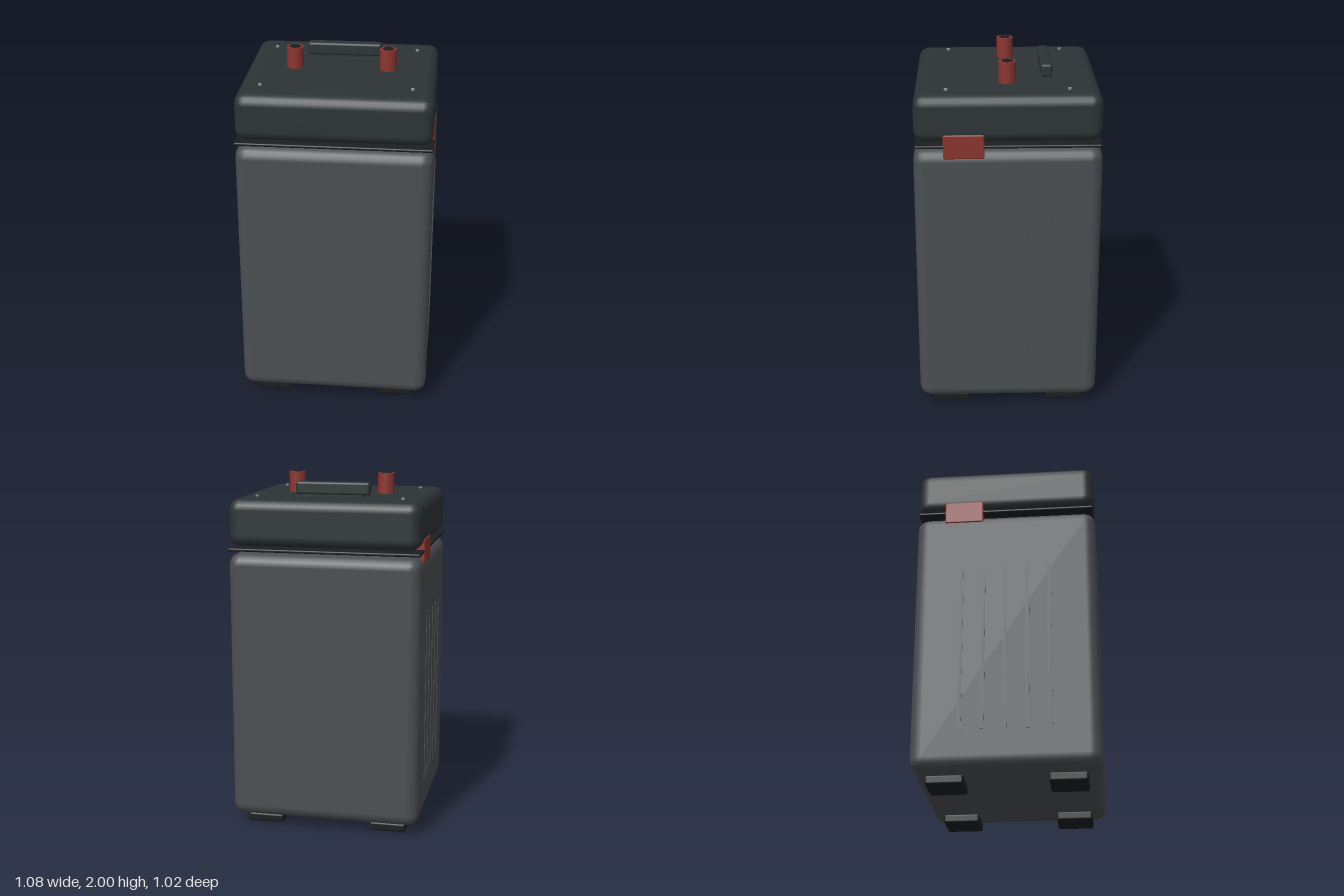
import * as THREE from 'three';
import { RoundedBoxGeometry } from 'three/addons/geometries/RoundedBoxGeometry.js';

const paint = (color) => new THREE.MeshStandardMaterial({ color });

export function createModel() {
  const model = new THREE.Group();
  const shell = paint(0x4b4f52);
  const dark = paint(0x2d3436);
  const rubber = paint(0x1c1e1f);
  const red = paint(0x8b3530);
  const steel = paint(0x8a8f92);

  function add(name, geometry, material, x, y, z) {
    const mesh = new THREE.Mesh(geometry, material);
    mesh.name = name;
    mesh.position.set(x, y, z);
    model.add(mesh);
    return mesh;
  }
  // Rounded block given by its size, bottom and top
  function block(name, material, w, d, y0, y1, radius, x = 0, z = 0) {
    const geometry = new RoundedBoxGeometry(w, y1 - y0, d, 2, radius);
    return add(name, geometry, material, x, (y0 + y1) / 2, z);
  }

  // Case, seal and lid, with narrow gaps between them
  block('body', shell, 1.075, 1.02, 0.06, 1.58, 0.065);
  block('seal', rubber, 1.07, 1.0, 1.593, 1.611, 0.008);
  block('lid', dark, 1.065, 1.01, 1.62, 1.88, 0.06);

  // Carrying handle: bar on a slim base
  block('handle', dark, 0.42, 0.064, 1.888, 1.96, 0.014, 0, -0.217);
  add('handleBase', new THREE.BoxGeometry(0.34, 0.02, 0.05), dark, 0, 1.88, -0.217);

  for (const side of [-1, 1]) {
    // Terminal post with a dark core
    add('terminal', new THREE.CylinderGeometry(0.047, 0.047, 0.125, 24), red, side * 0.26, 1.9345, 0);
    add('terminalCore', new THREE.CylinderGeometry(0.031, 0.031, 0.02, 24), rubber, side * 0.26, 1.99, 0);

    // Latches sit at diagonally opposite ends
    block('latch', red, 0.077, 0.22, 1.535, 1.67, 0.008, side * 0.4985, side * 0.238);

    // Side ribs
    for (let i = -2; i <= 2; i++) {
      add('rib', new THREE.BoxGeometry(0.02, 0.965, 0.022), shell, side * 0.531, 0.7525, i * 0.122);
    }

    for (const end of [-1, 1]) {
      block('foot', rubber, 0.205, 0.205, 0, 0.05, 0.012, side * 0.357, end * 0.328);
      add('screw', new THREE.CylinderGeometry(0.01, 0.01, 0.02, 12), steel, side * 0.41, 1.88, end * 0.33);
    }
  }
  return model;
}
